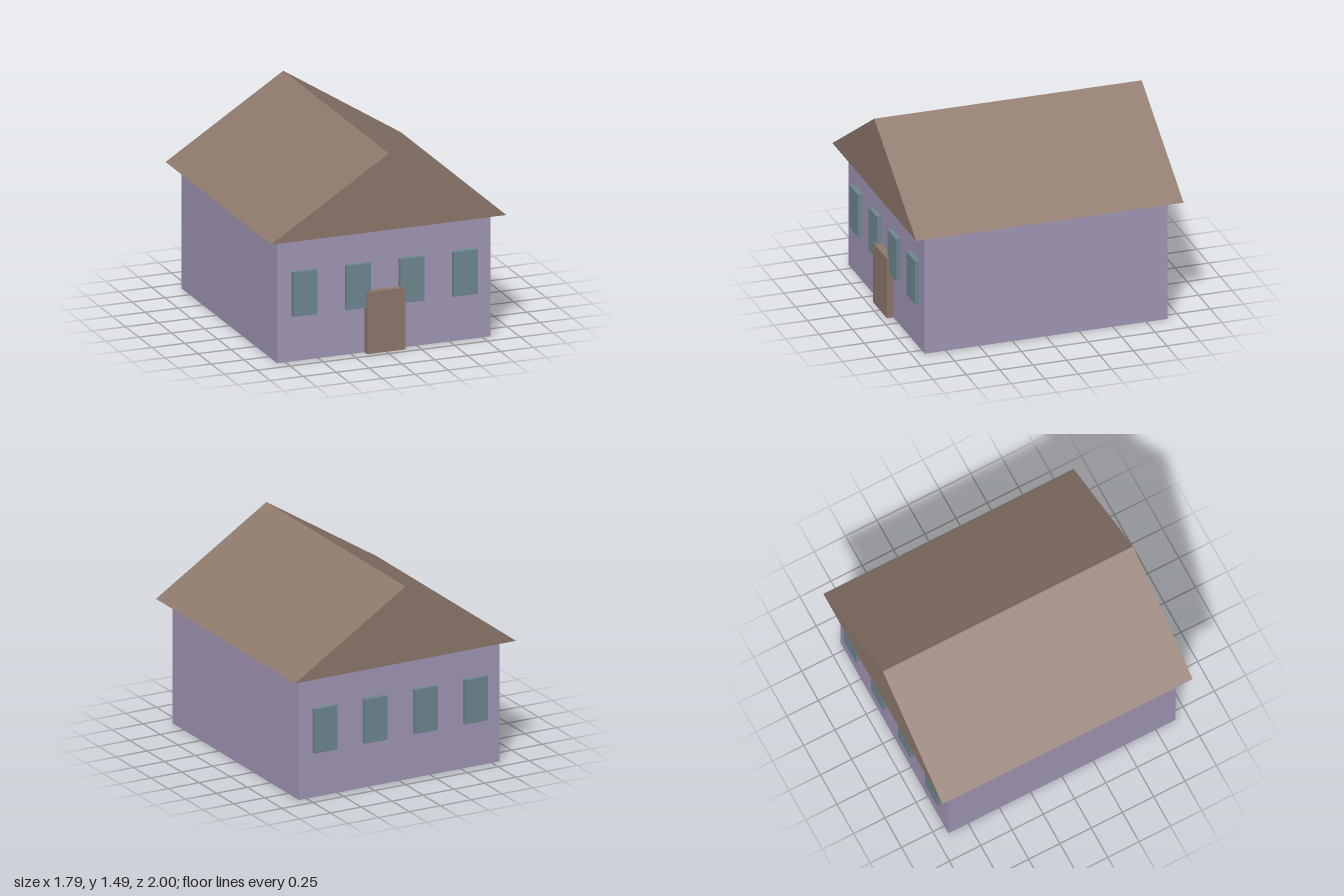
import * as THREE from 'three';

export function createModel() {
  const house = new THREE.Group();
  house.name = 'house';

  const material = (name, color) => {
    const m = new THREE.MeshStandardMaterial({ color });
    m.name = name;
    return m;
  };
  const lilac = material('lilac wall', 0xa398b8);
  const brown = material('brown wood', 0x8f796d);
  const teal = material('teal glass', 0x6f8992);

  // Box placed by its centre in x and z and by its underside in y
  const addBox = (name, mat, [w, h, d], [x, y, z]) => {
    const mesh = new THREE.Mesh(new THREE.BoxGeometry(w, h, d), mat);
    mesh.name = name;
    mesh.position.set(x, y + h / 2, z);
    house.add(mesh);
  };

  // Walls
  addBox('walls', lilac, [1.624, 0.92, 1.816], [0, 0, 0]);

  // Gabled roof: a solid triangular prism overhanging the walls
  const gable = new THREE.Shape();
  gable.moveTo(-0.895, 0.92);
  gable.lineTo(0.895, 0.92);
  gable.lineTo(0, 1.488);
  gable.closePath();
  const roofGeometry = new THREE.ExtrudeGeometry(gable, { depth: 2, bevelEnabled: false });
  roofGeometry.translate(0, 0, -1);
  const roof = new THREE.Mesh(roofGeometry, brown);
  roof.name = 'roof';
  house.add(roof);

  // Door
  addBox('door', brown, [0.292, 0.46, 0.05], [0, 0, 0.932]);

  // Four windows on the front and four on the back
  for (const [side, z] of [['front', 0.92], ['back', -0.92]]) {
    [-0.61, -0.204, 0.204, 0.61].forEach((x, i) => {
      addBox(`${side}Window${i + 1}`, teal, [0.183, 0.332, 0.04], [x, 0.339, z]);
    });
  }

  return house;
}
